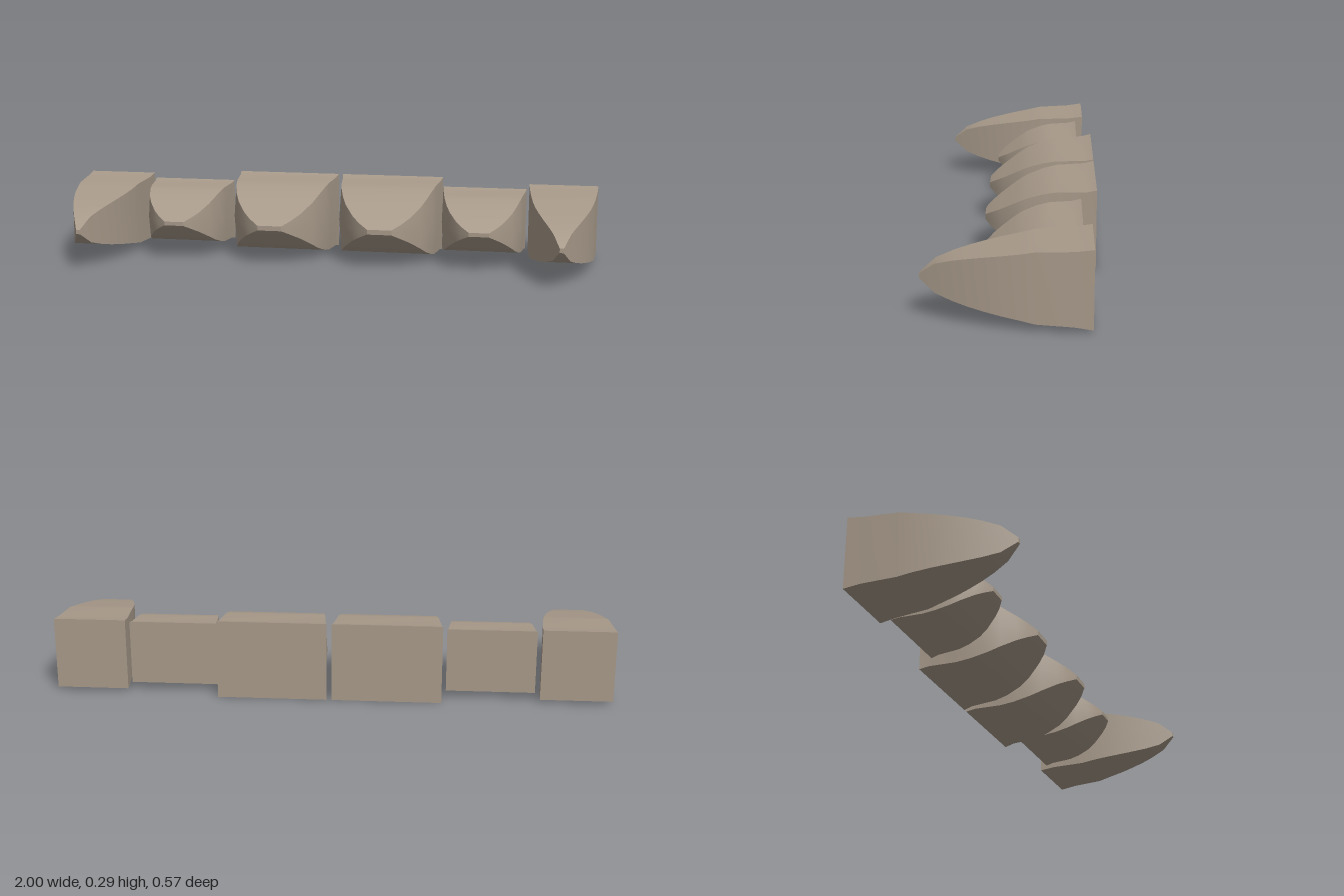
import * as THREE from 'three';

// Cross-sections from back to front: [z, half width, half height, side bulge]
const INCISOR = [
  [-0.285, 0.196, 0.143, 0], [-0.25, 0.191, 0.135, 0.003], [-0.15, 0.18, 0.131, 0.008],
  [-0.1, 0.172, 0.121, 0.009], [-0.04, 0.157, 0.1, 0.007], [0, 0.14, 0.078, 0.005],
  [0.05, 0.107, 0.047, 0.003], [0.08, 0.079, 0.028, 0.001], [0.105, 0.045, 0.009, 0],
];
const FANG = [
  [-0.26, 0.129, 0.13, 0], [-0.2, 0.126, 0.122, 0], [-0.08, 0.117, 0.117, 0],
  [-0.03, 0.11, 0.107, 0], [0.03, 0.099, 0.097, 0], [0.08, 0.086, 0.088, 0],
  [0.13, 0.071, 0.078, 0], [0.18, 0.053, 0.066, 0], [0.235, 0.031, 0.048, 0],
  [0.285, 0.007, 0.008, 0],
];

// Loft with smooth faces along the length and sharp ridges between them
function toothGeometry(sections) {
  const pos = [], index = [];
  const rings = sections.map(([z, w, h, b]) => [
    [w, -h, z], [w + b, 0, z], [w, h, z], [-w, h, z], [-w - b, 0, z], [-w, -h, z],
  ]);

  // Right, top, left and bottom strips
  for (const strip of [[0, 1, 2], [2, 3], [3, 4, 5], [5, 0]]) {
    const base = pos.length / 3, n = strip.length;
    rings.forEach((ring) => strip.forEach((k) => pos.push(...ring[k])));
    for (let i = 0; i < rings.length - 1; i++) {
      for (let j = 0; j < n - 1; j++) {
        const a = base + i * n + j, c = a + n;
        index.push(a, a + 1, c + 1, a, c + 1, c);
      }
    }
  }

  // Flat front and back caps
  const caps = [rings[rings.length - 1], [...rings[0]].reverse()];
  for (const ring of caps) {
    const base = pos.length / 3;
    ring.forEach((p) => pos.push(...p));
    for (let k = 1; k < 5; k++) index.push(base, base + k, base + k + 1);
  }

  const geometry = new THREE.BufferGeometry();
  geometry.setAttribute('position', new THREE.Float32BufferAttribute(pos, 3));
  geometry.setIndex(index);
  geometry.computeVertexNormals();
  return geometry;
}

export function createModel() {
  const model = new THREE.Group();
  model.name = 'teeth';
  const enamel = new THREE.MeshStandardMaterial({ color: 0xa89a8a });
  enamel.name = 'dull enamel';
  const incisor = toothGeometry(INCISOR), fang = toothGeometry(FANG);

  // Row of teeth across the jaw: name, shape, centre x, scale
  const row = [
    ['rightFang', fang, -0.87, 1],
    ['rightOuterIncisor', incisor, -0.566, 0.81],
    ['rightCentralIncisor', incisor, -0.196, 1],
    ['leftCentralIncisor', incisor, 0.213, 1],
    ['leftOuterIncisor', incisor, 0.573, 0.81],
    ['leftFang', fang, 0.87, 1],
  ];
  for (const [name, geometry, x, scale] of row) {
    const tooth = new THREE.Mesh(geometry, enamel);
    tooth.name = name;
    tooth.position.set(x, 0.143, 0);
    tooth.scale.setScalar(scale);
    model.add(tooth);
  }
  return model;
}
